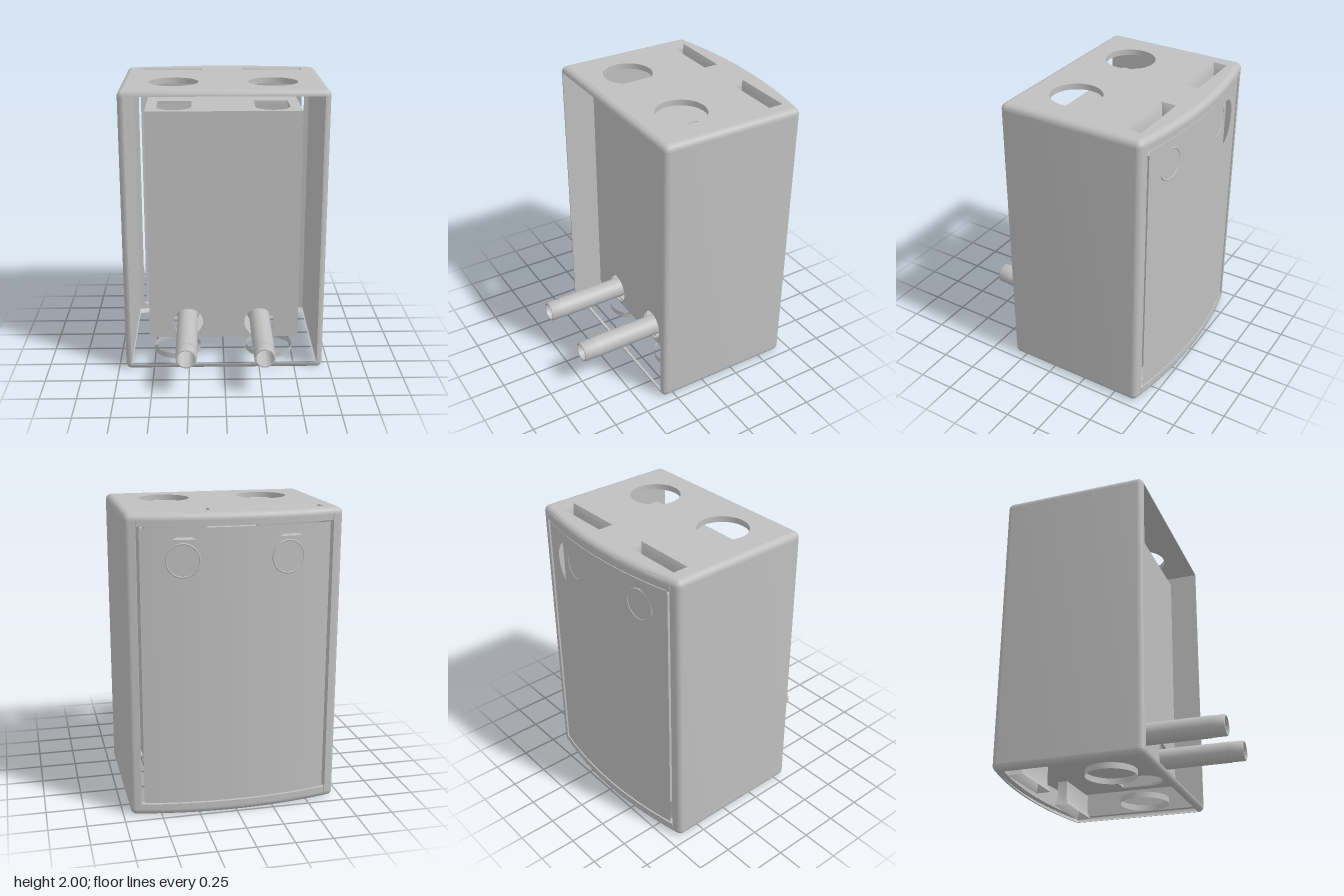
import * as THREE from 'three';
import { toCreasedNormals } from 'three/addons/utils/BufferGeometryUtils.js';

const R = 0.04;                                         // wall thickness and edge radius
const back = (x, off = 0) => -0.75 + 0.17 * x * x + off; // bowed back surface
const steps = (n, a, b) => Array.from({ length: n + 1 }, (_, i) => a + (b - a) * i / n);

// Half outline of the housing (x >= 0 side), front corner to back, as core point + normal
function halfOutline(r, xEnd) {
  const pts = [];
  for (const a of steps(6, Math.PI / 2, 0)) pts.push([0.66 + r * Math.cos(a), 0.3 + r * Math.sin(a)]);
  const zc = back(0.66, R), end = -Math.PI / 2 + 0.22;
  for (const a of steps(6, 0, end)) pts.push([0.66 + r * Math.cos(a), zc + r * Math.sin(a)]);
  for (const x of steps(14, 0.66, xEnd).slice(1)) {
    const l = Math.hypot(1, 0.34 * x);
    pts.push([x + r * 0.34 * x / l, back(x, R) - r / l]);
  }
  return pts;
}
function outline(r) {
  const h = halfOutline(r, 0);
  return [...h, ...h.slice(0, -1).reverse().map(([x, z]) => [-x, z])];
}
const toShape = (pts) => new THREE.Shape(pts.map(([x, z]) => new THREE.Vector2(x, -z)));
const rect = (x0, x1, z0, z1) => [[x0, z0], [x1, z0], [x1, z1], [x0, z1]];
const circle = (x, y, r) => new THREE.Path().absarc(x, y, r, 0, Math.PI * 2);

// Extrude a plan (x, z) shape upward from y0 to y1
function upright(shape, y0, y1) {
  const g = new THREE.ExtrudeGeometry(shape, { depth: y1 - y0, bevelEnabled: false, curveSegments: 32 });
  return toCreasedNormals(g.rotateX(-Math.PI / 2).translate(0, y0, 0), 0.5);
}

// Skin a list of equal-length rows of [x, y, z]
function loft(rows, closed) {
  const n = rows[0].length, index = [];
  for (let j = 0; j < rows.length - 1; j++)
    for (let i = 0; i < (closed ? n : n - 1); i++) {
      const a = j * n + i, b = j * n + (i + 1) % n;
      index.push(a, b, b + n, a, b + n, a + n);
    }
  const g = new THREE.BufferGeometry();
  g.setAttribute('position', new THREE.Float32BufferAttribute(rows.flat(2), 3));
  g.setIndex(index);
  return toCreasedNormals(g, 0.6);
}

export function createModel() {
  const root = new THREE.Group();
  root.name = 'wallHousing';
  const grey = new THREE.MeshStandardMaterial({ color: 0xbfbfbf, side: THREE.DoubleSide });
  grey.name = 'light grey';
  const add = (name, geometry, x = 0, y = 0, z = 0) => {
    const m = new THREE.Mesh(geometry, grey);
    m.name = name;
    m.position.set(x, y, z);
    root.add(m);
    return m;
  };

  // Top panel with two round openings and two slots
  const top = toShape(outline(0));
  for (const s of [-1, 1]) {
    top.holes.push(circle(s * 0.34, 0, 0.17));
    top.holes.push(toShape(rect(s * 0.15, s * 0.585, -0.61, -0.505)));
  }
  add('topPanel', upright(top, 2 - R, 2));

  // Rounded rims round the top and the open bottom
  const arc = steps(6, 0, Math.PI / 2).map((a) => [R * Math.cos(a), 2 - R + R * Math.sin(a)]);
  const ring = ([r, y]) => outline(r).map(([x, z]) => [x, y, z]);
  add('topRim', loft([[0, 2 - R], ...arc].map(ring), true));
  add('bottomRim', loft(arc.map(([r, y]) => ring([r, 2 - y])).reverse(), true));

  // Side walls, wrapping round to the frame of the back panel
  for (const s of [-1, 1]) {
    const pts = [...halfOutline(R, 0.625), ...halfOutline(0, 0.625).slice(7).reverse(), [0.66, 0.3]];
    add('sideWall', upright(toShape(pts.map(([x, z]) => [s * x, z])), R, 2 - R));
  }

  // Back frame rails above and below the panel
  const bowed = (w, o0, o1) => toShape([
    ...steps(24, -w, w).map((x) => [x, back(x, o0)]),
    ...steps(24, w, -w).map((x) => [x, back(x, o1)])]);
  add('backRail', upright(bowed(0.63, 0, R), 1.92, 2 - R));
  add('backRail', upright(bowed(0.63, 0, R), R, 0.08));

  // Bowed back panel with two round openings
  const half = [0.06, 0.12, ...steps(20, 0, Math.PI).map((t) => 0.34 - 0.16 * Math.cos(t)), 0.56, 0.612];
  const xs = [...half.map((x) => -x).reverse(), 0, ...half];
  const gap = (x) => Math.sqrt(Math.max(0, 0.16 ** 2 - (Math.abs(x) - 0.34) ** 2));
  const row = (f) => xs.map((x) => [x, f(x), back(x, 0.004)]);
  add('backPanel', loft([row(() => 0.088), row((x) => 1.7 - gap(x))]));
  add('backPanel', loft([row((x) => 1.7 + gap(x)), row(() => 1.912)]));

  // Inner tray: bowed liner, front plate, sides
  add('trayLiner', upright(bowed(0.53, 0.055, 0.165), 0.17, 1.83));
  const front = toShape(rect(-0.535, 0.535, -1.83, -0.17));
  for (const s of [-1, 1]) front.holes.push(circle(s * 0.255, 0.285, 0.107));
  add('trayFront', new THREE.ExtrudeGeometry(front,
    { depth: 0.02, bevelEnabled: false, curveSegments: 32 }), 0, 0, 0.15);
  for (const s of [-1, 1])
    add('traySide', new THREE.BoxGeometry(0.02, 1.66, 0.75), s * 0.525, 1, -0.215);

  // Tray ends with U-shaped cable cut-outs and slots
  const tray = toShape(rect(-0.535, 0.535, -0.6, 0.15));
  for (const s of [-1, 1]) {
    const u = steps(20, 0, Math.PI).map((a) => [s * 0.34 + 0.12 * Math.cos(a), 0.01 + 0.12 * Math.sin(a)]);
    tray.holes.push(toShape([...u, [s * 0.34 - 0.12, -0.2], [s * 0.34 + 0.12, -0.2]]));
    tray.holes.push(toShape(rect(s * 0.17, s * 0.51, -0.585, -0.525)));
  }
  add('trayTop', upright(tray, 1.81, 1.83));
  add('trayBottom', upright(tray, 0.17, 0.19));

  for (const s of [-1, 1]) {
    // Chamfered slot tunnels at top and bottom
    for (const f of [(y) => y, (y) => 2 - y]) {
      const section = (d, y) => rect(s * (0.15 + d), s * (0.585 - d), -0.61 + d, -0.505 - d)
        .map(([x, z]) => [x, f(y), z]);
      add('slotTunnel', loft([section(0, 2), section(0.018, 2 - R), section(0.018, 1.83)], true));
    }
    // Collar of the bottom opening
    add('bottomOpening', new THREE.CylinderGeometry(0.17, 0.17, R, 48, 1, true), s * 0.34, R / 2, 0);

    // Round boss behind each back opening
    const boss = new THREE.CylinderGeometry(0.105, 0.105, 0.016, 40).rotateX(Math.PI / 2);
    const zb = back(0.34, 0.055);
    add('boss', boss, s * 0.34, 1.7, zb).rotation.y = -s * 0.115;
    add('bossRing', new THREE.TorusGeometry(0.105, 0.006, 8, 40), s * 0.34, 1.7, zb - 0.006)
      .rotation.y = -s * 0.115;

    // Hollow pipe with collar and stepped tip
    const profile = [[0, -0.55], [0.073, -0.55], [0.073, -0.04], [0.085, -0.035], [0.089, -0.027],
      [0.085, -0.019], [0.073, -0.014], [0.073, 0.66], [0.071, 0.66], [0.071, 0.742], [0.066, 0.75],
      [0.058, 0.75], [0.056, 0.4], [0.045, 0.36], [0.025, 0.34], [0, 0.335]];
    const pipe = new THREE.LatheGeometry(profile.map(([r, z]) => new THREE.Vector2(r, z)), 40);
    add('pipe', toCreasedNormals(pipe.rotateX(Math.PI / 2), 0.6), s * 0.262, 0.285, 0);
    add('pipeFin', new THREE.BoxGeometry(0.01, 0.02, 0.06), s * 0.262, 0.362, -0.07);
  }
  return root;
}
